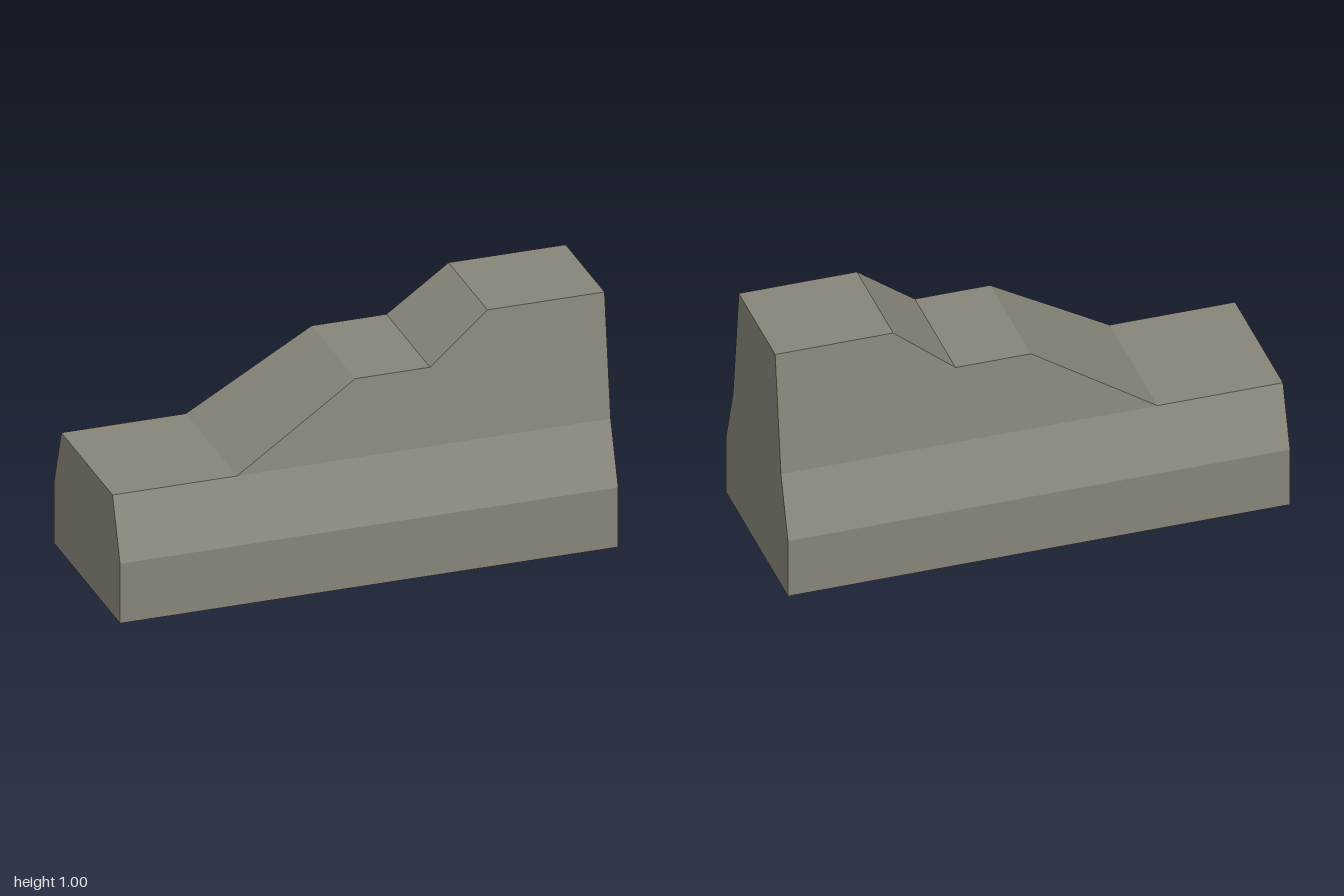
import * as THREE from 'three';

// Half width of the body at a height above the shoulder
const halfWidth = (y) => 0.29 - (y - 0.5) * 0.14;

// Cross-section at x: straight plinth, sloped shoulder, tapering upper wall, then mirrored
function crossSection(x, top) {
  const half = [[0, 0.375], [0.25, 0.375], [0.5, 0.29], [top, halfWidth(top)]];
  const front = half.map(([y, z]) => new THREE.Vector3(x, y, z));
  const back = half.map(([y, z]) => new THREE.Vector3(x, y, -z)).reverse();
  return [...front, ...back];
}

function steppedBody(stations) {
  const rings = stations.map(([x, top]) => crossSection(x, top));
  const positions = [];
  const triangle = (a, b, c) => {
    if (new THREE.Triangle(a, b, c).getArea() < 1e-6) return;
    for (const p of [a, b, c]) positions.push(p.x, p.y, p.z);
  };
  const quad = (a, b, c, d) => { triangle(a, b, c); triangle(a, c, d); };

  // Walls, stepped top and underside
  for (let i = 0; i < rings.length - 1; i++) {
    const a = rings[i], b = rings[i + 1];
    for (let j = 0; j < 8; j++) {
      const k = (j + 1) % 8;
      quad(a[j], b[j], b[k], a[k]);
    }
  }

  // End faces, in horizontal bands
  const low = rings[0], high = rings[rings.length - 1];
  for (let j = 0; j < 3; j++) {
    quad(low[j], low[j + 1], low[6 - j], low[7 - j]);
    quad(high[7 - j], high[6 - j], high[j + 1], high[j]);
  }

  const geometry = new THREE.BufferGeometry();
  geometry.setAttribute('position', new THREE.Float32BufferAttribute(positions, 3));
  geometry.computeVertexNormals();
  return geometry;
}

export function createModel() {
  const group = new THREE.Group();
  group.name = 'steppedBarrier';

  const stone = new THREE.MeshStandardMaterial({ color: 0x888579 });
  stone.name = 'greyStone';

  // Top line from the low end to the high end: [x, height]
  const topLine = [[-1, 0.5], [-0.5, 0.5], [-0.01, 0.81], [0.29, 0.81], [0.53, 1], [1, 1]];
  const body = new THREE.Mesh(steppedBody(topLine), stone);
  body.name = 'barrierBody';
  group.add(body);
  return group;
}
